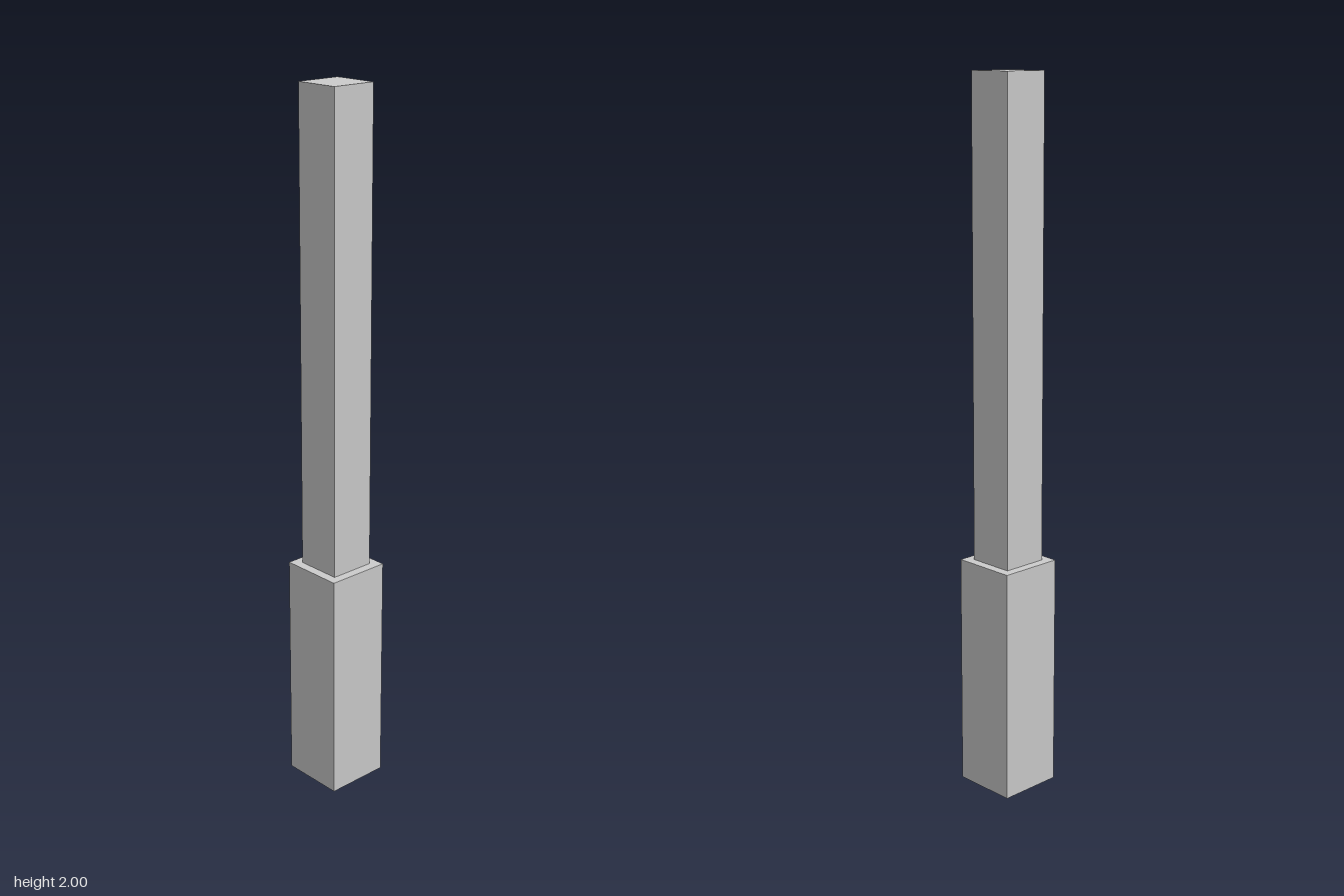
import * as THREE from 'three';

export function createModel() {
  const model = new THREE.Group();
  const material = new THREE.MeshStandardMaterial({ color: 0xcccccc });

  // Square block standing between two heights
  function addBlock(name, width, bottom, top) {
    const mesh = new THREE.Mesh(new THREE.BoxGeometry(width, top - bottom, width), material);
    mesh.name = name;
    mesh.position.y = (bottom + top) / 2;
    model.add(mesh);
  }

  // Wide plinth with a slimmer post on top
  addBlock('base', 0.187, 0, 0.667);
  addBlock('post', 0.134, 0.667, 2);

  return model;
}
